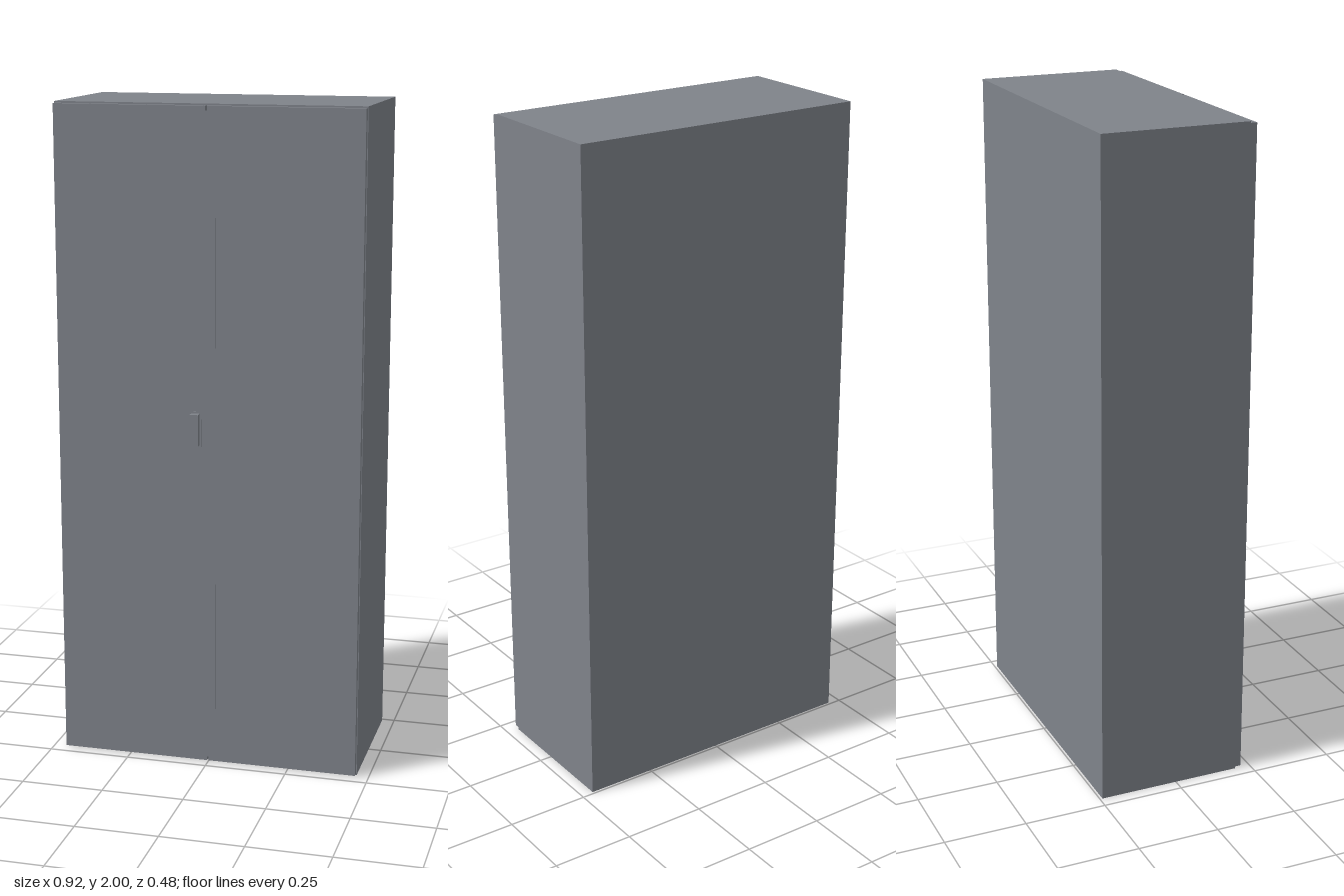
import * as THREE from 'three';

export function createModel() {
  const model = new THREE.Group();
  model.name = 'cabinet';
  const paint = new THREE.MeshStandardMaterial({ color: 0x7f838a });
  paint.name = 'grey paint';

  // Box given by its lower and upper limits on each axis
  const box = (name, [x0, x1], [y0, y1], [z0, z1], parent = model) => {
    const mesh = new THREE.Mesh(new THREE.BoxGeometry(x1 - x0, y1 - y0, z1 - z0), paint);
    mesh.position.set((x0 + x1) / 2, (y0 + y1) / 2, (z0 + z1) / 2);
    mesh.name = name;
    parent.add(mesh);
    return mesh;
  };

  // Closed case
  box('case', [-0.462, 0.462], [0, 2], [-0.242, 0.2]);

  // Two doors with a narrow gap between them
  const doorY = [0.005, 1.995];
  box('rightDoor', [-0.46, -0.003], doorY, [0.2, 0.22]);
  box('leftDoor', [0.002, 0.46], doorY, [0.2, 0.22]);

  // Thin strip on the left door that covers the gap
  box('coverStrip', [-0.005, 0.026], [0.018, 1.982], [0.219, 0.222]);

  // Handle: mounting plate and grip on the right door
  const handle = new THREE.Group();
  handle.name = 'handle';
  model.add(handle);
  box('handlePlate', [-0.05, -0.016], [1.0, 1.105], [0.219, 0.222], handle);
  box('handleGrip', [-0.047, -0.022], [1.005, 1.1], [0.222, 0.242], handle);

  return model;
}
